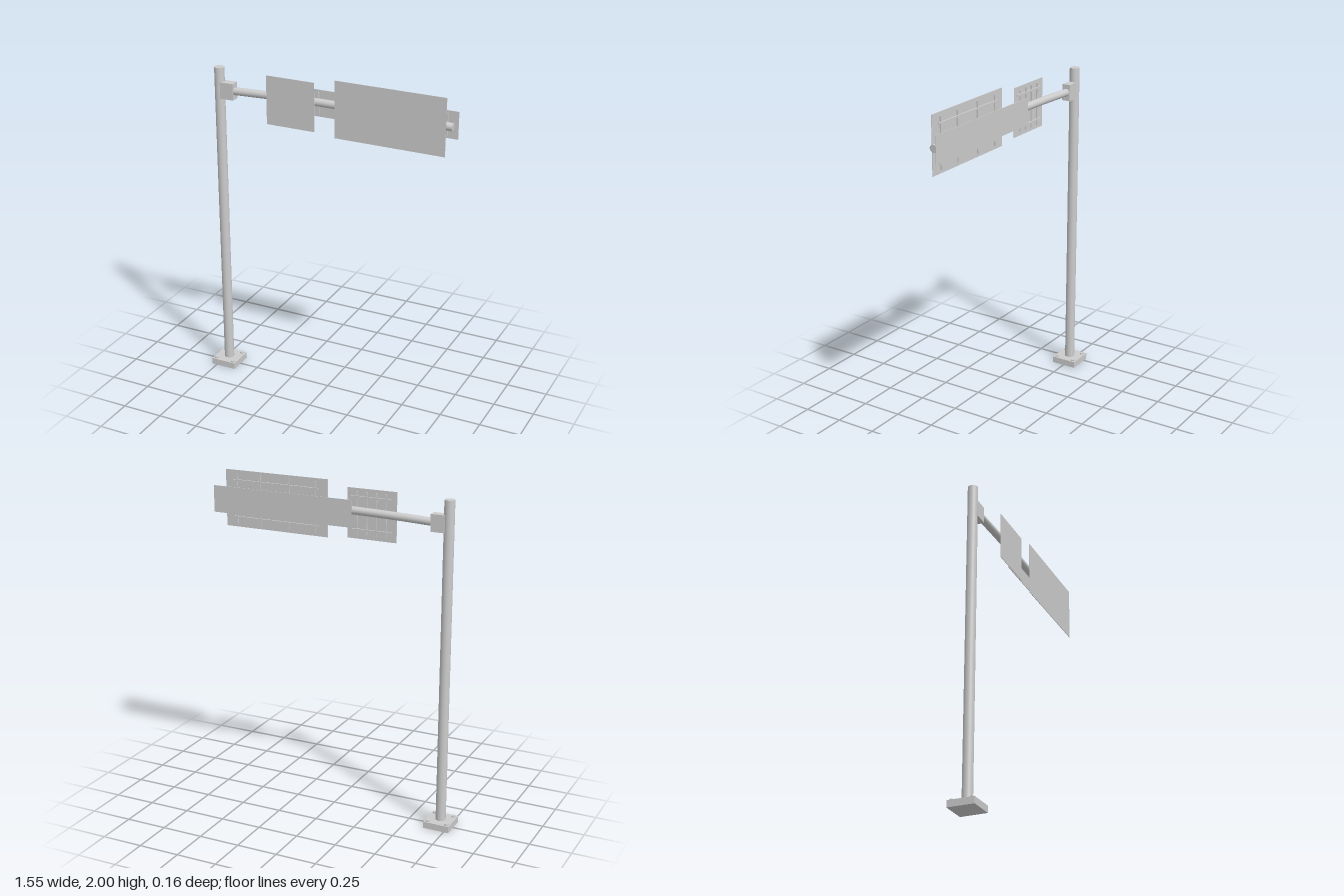
import * as THREE from 'three';

const material = new THREE.MeshStandardMaterial({ color: 0xcccccc });

export function createModel() {
  const model = new THREE.Group();

  function add(name, geometry, x, y, z, parent = model) {
    const mesh = new THREE.Mesh(geometry, material);
    mesh.name = name;
    mesh.position.set(x, y, z);
    parent.add(mesh);
    return mesh;
  }
  // Box given by its limits on each axis
  function box(name, [x0, x1], [y0, y1], [z0, z1], parent) {
    return add(name, new THREE.BoxGeometry(x1 - x0, y1 - y0, z1 - z0),
      (x0 + x1) / 2, (y0 + y1) / 2, (z0 + z1) / 2, parent);
  }

  // Footing with four anchor bolts
  const poleX = -0.7;
  box('basePlate', [poleX - 0.08, poleX + 0.08], [0, 0.04], [-0.08, 0.08]);
  for (const sx of [-1, 1]) {
    for (const sz of [-1, 1]) {
      add('anchorBolt', new THREE.CylinderGeometry(0.013, 0.013, 0.009, 16),
        poleX + sx * 0.058, 0.0435, sz * 0.06);
    }
  }

  // Upright and the bracket that holds the arm
  add('pole', new THREE.CylinderGeometry(0.03, 0.03, 1.925, 32), poleX, 1.0025, 0);
  box('armBracket', [-0.69, -0.6], [1.78, 1.88], [-0.026, 0.026]);

  // Slightly bowed arm, closed at its free end
  const armCurve = new THREE.QuadraticBezierCurve3(
    new THREE.Vector3(-0.61, 1.83, 0),
    new THREE.Vector3(0.07, 1.862, 0),
    new THREE.Vector3(0.755, 1.828, 0));
  add('arm', new THREE.TubeGeometry(armCurve, 24, 0.023, 24), 0, 0, 0);
  const cap = add('armEndCap', new THREE.CircleGeometry(0.023, 24), 0.755, 1.828, 0);
  cap.quaternion.setFromUnitVectors(new THREE.Vector3(0, 0, 1), armCurve.getTangent(1));

  // Sign panel with a frame of rails and ribs on its rear face
  function sign(name, xs, ys, ribXs, railXs, railYs, ribYs) {
    const group = new THREE.Group();
    group.name = name;
    model.add(group);
    box('panel', xs, ys, [0.029, 0.032], group);
    for (const x of ribXs) box('rib', [x - 0.004, x + 0.004], ribYs, [0.021, 0.029], group);
    for (const y of railYs) box('rail', railXs, [y - 0.005, y + 0.005], [0.018, 0.027], group);
  }
  sign('smallSign', [-0.375, -0.07], [1.675, 1.968],
    [-0.31, -0.25, -0.19, -0.13], [-0.345, -0.095], [1.73, 1.92], [1.695, 1.95]);
  sign('largeSign', [0.057, 0.725], [1.66, 2],
    [0.135, 0.305, 0.495, 0.65], [0.115, 0.67], [1.72, 1.94], [1.68, 1.98]);

  // Long panel behind the arm, with its two upright straps
  box('rearPanel', [-0.123, 0.775], [1.75, 1.91], [-0.031, -0.028]);
  for (const x of [-0.07, 0.71]) {
    box('rearStrap', [x - 0.004, x + 0.004], [1.765, 1.895], [-0.028, -0.019]);
  }

  return model;
}
